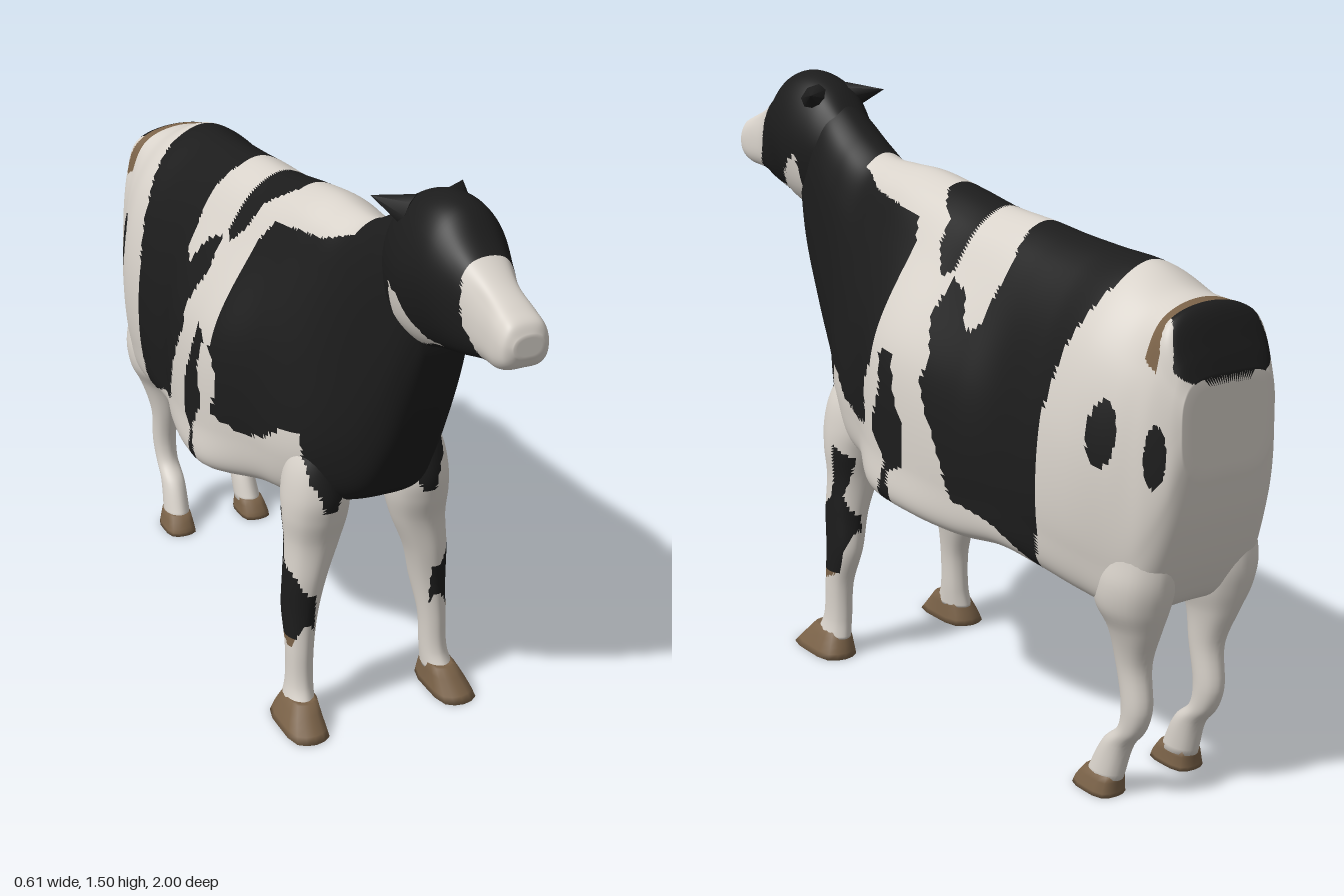
import * as THREE from 'three';

const mat = (name, color) => new THREE.MeshStandardMaterial({ name, color });
const white = mat('creamCoat', 0xd8d2ca);
const black = mat('blackCoat', 0x1c1c1c);
const brown = mat('hoofBrown', 0x7a6248);
const coat = [white, black, brown];
const WHITE = 0, BLACK = 1, BROWN = 2;

// Point-in-polygon test on [z, y] or [x, y] outlines
function inside(poly, z, y) {
  let hit = false;
  for (let i = 0, j = poly.length - 1; i < poly.length; j = i++) {
    const [zi, yi] = poly[i], [zj, yj] = poly[j];
    if ((yi > y) !== (yj > y) && z < (zj - zi) * (y - yi) / (yj - yi) + zi) hit = !hit;
  }
  return hit;
}
const inOval = (z, y, cz, cy, rz, ry) => ((z - cz) / rz) ** 2 + ((y - cy) / ry) ** 2 < 1;

// Coat patches, mirrored on both flanks
const shoulderPatch = [[0.32, 1.6], [0.32, 1.29], [0.22, 1.25], [0.1, 1.235], [0, 1.22], [-0.03, 1.17],
  [-0.04, 0.9], [0, 0.83], [-0.02, 0.73], [0.08, 0.71], [0.17, 0.74], [0.24, 0.79], [0.29, 0.8],
  [0.3, 0.7], [0.34, 0.6], [0.45, 0.55], [0.8, 1], [0.8, 1.6]];
const backPatch = [[-0.02, 1.6], [-0.02, 1.285], [-0.07, 1.25], [-0.11, 1.225], [-0.12, 1.17], [-0.17, 1.11],
  [-0.21, 1.13], [-0.2, 1.6]];
const flankPatch = [[-0.36, 1.6], [-0.36, 1.25], [-0.39, 1.17], [-0.37, 1.03], [-0.33, 1.01], [-0.28, 1.09],
  [-0.22, 1.11], [-0.2, 1.03], [-0.25, 0.93], [-0.23, 0.88], [-0.3, 0.75], [-0.35, 0.62], [-0.47, 0.59],
  [-0.63, 0.52], [-0.65, 0.7], [-0.65, 0.9], [-0.68, 1.05], [-0.74, 1.2], [-0.74, 1.6]];
const ribPatch = [[-0.07, 0.92], [-0.12, 0.93], [-0.15, 0.82], [-0.19, 0.75], [-0.18, 0.66], [-0.13, 0.64],
  [-0.14, 0.56], [-0.09, 0.56], [-0.12, 0.66], [-0.06, 0.73], [-0.09, 0.84]];
const rumpPatch = [[-0.925, 1.6], [-0.925, 1.14], [-0.94, 1.08], [-1.02, 1], [-1.02, 1.6]];
const rumpRim = [[-0.895, 1.6], [-0.9, 1.06], [-0.94, 1.04], [-0.94, 1.08], [-0.925, 1.14], [-0.925, 1.6]];
const kneePatch = [[0.25, 0.59], [0.2, 0.56], [0.23, 0.45], [0.2, 0.38], [0.24, 0.24], [0.3, 0.21],
  [0.34, 0.33], [0.31, 0.41], [0.26, 0.45]];
const brisketPatch = [[0, 0.66], [0.1, 0.65], [0.115, 0.6], [0.15, 0.6], [0.165, 0.66], [0.18, 0.68],
  [0.19, 0.85], [0, 0.85]];
const muzzlePatch = [[0.82, 1.6], [0.82, 1.39], [0.84, 1.28], [0.9, 1.19], [0.9, 1.1], [1.1, 1.1], [1.1, 1.6]];
const cheekPatch = [[0.8, 1.19], [0.7, 1.19], [0.63, 1.27], [0.59, 1.29], [0.58, 1.2], [0.6, 1.14],
  [0.66, 1.13], [0.8, 1.15]];

const bodyColour = (x, y, z) => {
  if (Math.abs(x) < 0.1 - (z + 0.92) * 0.7 && inside(rumpPatch, z, y)) return BLACK;
  if (Math.abs(x) < (y > 1.16 ? 0.11 : 0.17) && inside(rumpRim, z, y)) return BROWN;
  if (inOval(z, y, -0.83, 0.89, 0.036, 0.075) || inOval(z, y, -0.955, 0.86, 0.022, 0.07)) return BLACK;
  return [shoulderPatch, backPatch, flankPatch, ribPatch].some((p) => inside(p, z, y)) ? BLACK : WHITE;
};
const headColour = (x, y, z) => (inside(muzzlePatch, z, y)
  || (Math.abs(x) > 0.06 && inside(cheekPatch, z, y)) ? WHITE : BLACK);
const foreLegColour = (x, y, z) => {
  if (y > 0.595) return z > 0.28 && inside(brisketPatch, Math.abs(x), y) ? BLACK : WHITE;
  if (Math.abs(x) < 0.16 || !inside(kneePatch, z, y)) return WHITE;
  return y < 0.235 ? BROWN : BLACK;
};
const hindLegColour = (x, y, z) => (y > 0.44 && y < 0.5 && z > -0.775 ? BROWN : WHITE);
const udderColour = (x, y, z) => (z > -0.62 && y < 0.5 && Math.abs(x) < 0.07 ? BROWN : WHITE);

// Sort faces into one group per colour
function paint(geo, colourAt) {
  const p = geo.attributes.position, idx = geo.index.array, lists = [[], [], []];
  for (let f = 0; f < idx.length; f += 3) {
    const t = [idx[f], idx[f + 1], idx[f + 2]];
    const mid = (get) => (get(t[0]) + get(t[1]) + get(t[2])) / 3;
    lists[colourAt(mid((i) => p.getX(i)), mid((i) => p.getY(i)), mid((i) => p.getZ(i)))].push(...t);
  }
  geo.setIndex(lists.flat());
  geo.clearGroups();
  let start = 0;
  lists.forEach((l, m) => {
    if (l.length) geo.addGroup(start, l.length, m);
    start += l.length;
  });
  return geo;
}

// Smooth skin through closed rings of points, each end closed by a fan
function loft(rings, around, steps) {
  const smooth = rings.map((r) => {
    const c = new THREE.CatmullRomCurve3(r, true);
    return Array.from({ length: around }, (_, j) => c.getPoint(j / around));
  });
  const rows = (rings.length - 1) * steps, pos = [], index = [];
  const lines = Array.from({ length: around }, (_, j) => new THREE.CatmullRomCurve3(smooth.map((r) => r[j])));
  for (let i = 0; i <= rows; i++) for (const l of lines) pos.push(...l.getPoint(i / rows).toArray());
  for (let i = 0; i < rows; i++) {
    for (let j = 0; j < around; j++) {
      const a = i * around + j, b = i * around + (j + 1) % around;
      index.push(a, a + around, b, b, a + around, b + around);
    }
  }
  // Two inner rings per end keep patch edges and shading even
  for (const last of [false, true]) {
    const ring = smooth[last ? smooth.length - 1 : 0];
    const centre = ring.reduce((s, v) => s.add(v), new THREE.Vector3()).divideScalar(around);
    let outer = last ? rows * around : 0;
    for (const t of [0.2, 0.5, 1]) {
      const inner = pos.length / 3;
      ring.forEach((v) => pos.push(...v.clone().lerp(centre, t).toArray()));
      for (let j = 0; j < around; j++) {
        const k = (j + 1) % around, a = outer + j, b = outer + k, c = inner + j, d = inner + k;
        if (last) index.push(a, c, b, b, c, d);
        else index.push(a, b, c, b, d, c);
      }
      outer = inner;
    }
  }
  const geo = new THREE.BufferGeometry();
  geo.setAttribute('position', new THREE.Float32BufferAttribute(pos, 3));
  geo.setIndex(index);
  geo.computeVertexNormals();
  return geo;
}

// Upright section: z, top, bottom, then half widths at fixed heights
const levels = [0.05, 0.2, 0.48, 0.82, 0.975];
function trunkRing([z, top, bottom, ...w]) {
  const at = (x, t) => new THREE.Vector3(x, top + (bottom - top) * t, z);
  const left = w.map((x, i) => at(x, levels[i]));
  const right = w.map((x, i) => at(-x, levels[i])).reverse();
  return [at(0, 0), ...left, at(0, 1), ...right];
}

// Level section: y, z centre, x centre, z radius, x radius; a lower power gives squarer corners
const limbRing = (side, power) => ([y, z, x, rz, rx]) => Array.from({ length: 8 }, (_, k) => {
  const a = k * Math.PI / 4;
  const bend = (v) => (Math.abs(v) < 1e-6 ? 0 : Math.sign(v) * Math.abs(v) ** power);
  return new THREE.Vector3(side * x + rx * bend(Math.cos(a)), y, z - rz * bend(Math.sin(a)));
});

const bodySections = [
  [-1, 1.03, 0.81, 0.1, 0.125, 0.13, 0.12, 0.09],
  [-0.98, 1.085, 0.69, 0.115, 0.14, 0.15, 0.145, 0.11],
  [-0.94, 1.165, 0.56, 0.12, 0.155, 0.175, 0.17, 0.13],
  [-0.9, 1.175, 0.49, 0.11, 0.16, 0.19, 0.185, 0.15],
  [-0.85, 1.185, 0.47, 0.1, 0.17, 0.21, 0.2, 0.165],
  [-0.75, 1.225, 0.485, 0.09, 0.18, 0.235, 0.23, 0.19],
  [-0.6, 1.235, 0.51, 0.08, 0.165, 0.23, 0.24, 0.21],
  [-0.47, 1.243, 0.52, 0.08, 0.16, 0.225, 0.24, 0.22],
  [-0.35, 1.255, 0.515, 0.08, 0.16, 0.25, 0.27, 0.25],
  [-0.2, 1.265, 0.53, 0.08, 0.16, 0.27, 0.292, 0.282],
  [-0.05, 1.29, 0.55, 0.08, 0.16, 0.275, 0.297, 0.288],
  [0.1, 1.31, 0.57, 0.08, 0.145, 0.225, 0.242, 0.21],
  [0.2, 1.31, 0.58, 0.075, 0.13, 0.195, 0.22, 0.18],
  [0.3, 1.315, 0.6, 0.065, 0.115, 0.16, 0.18, 0.135],
  [0.4, 1.36, 0.65, 0.065, 0.108, 0.13, 0.125, 0.08],
  [0.5, 1.42, 0.79, 0.058, 0.098, 0.112, 0.1, 0.06],
  [0.58, 1.45, 0.96, 0.045, 0.08, 0.095, 0.085, 0.05],
  [0.64, 1.44, 1.12, 0.03, 0.06, 0.07, 0.06, 0.04],
];
const headSections = [
  [0.47, 1.39, 1.22, 0.035, 0.055, 0.07, 0.06, 0.035],
  [0.55, 1.465, 1.15, 0.05, 0.083, 0.103, 0.088, 0.05],
  [0.64, 1.497, 1.14, 0.052, 0.093, 0.118, 0.095, 0.05],
  [0.72, 1.488, 1.165, 0.05, 0.088, 0.108, 0.085, 0.05],
  [0.8, 1.425, 1.185, 0.045, 0.07, 0.082, 0.07, 0.045],
  [0.88, 1.375, 1.205, 0.035, 0.048, 0.057, 0.053, 0.035],
  [0.95, 1.345, 1.215, 0.035, 0.05, 0.058, 0.055, 0.04],
  [0.985, 1.328, 1.23, 0.033, 0.046, 0.054, 0.05, 0.035],
  [1, 1.305, 1.255, 0.017, 0.03, 0.036, 0.03, 0.017],
];
const foreLeg = [[0.78, 0.26, 0.13, 0.05, 0.04], [0.7, 0.263, 0.135, 0.08, 0.07], [0.63, 0.265, 0.135, 0.093, 0.083],
  [0.57, 0.268, 0.138, 0.082, 0.083], [0.5, 0.268, 0.145, 0.066, 0.072], [0.4, 0.27, 0.166, 0.061, 0.055],
  [0.3, 0.265, 0.178, 0.058, 0.044], [0.2, 0.28, 0.186, 0.043, 0.035], [0.1, 0.285, 0.19, 0.045, 0.034],
  [0.05, 0.295, 0.197, 0.06, 0.038]];
const foreHoof = [[0.07, 0.305, 0.195, 0.055, 0.034], [0.03, 0.315, 0.203, 0.085, 0.046], [0, 0.325, 0.207, 0.105, 0.054]];
const hindLeg = [[0.75, -0.85, 0.11, 0.07, 0.07], [0.62, -0.855, 0.115, 0.09, 0.08], [0.55, -0.85, 0.12, 0.098, 0.085],
  [0.49, -0.842, 0.12, 0.094, 0.078], [0.43, -0.845, 0.115, 0.07, 0.055], [0.34, -0.837, 0.108, 0.046, 0.038],
  [0.235, -0.85, 0.107, 0.04, 0.033], [0.18, -0.835, 0.107, 0.036, 0.031], [0.13, -0.79, 0.108, 0.042, 0.033],
  [0.04, -0.752, 0.113, 0.052, 0.036]];
const hindHoof = [[0.05, -0.75, 0.114, 0.05, 0.034], [0.02, -0.738, 0.117, 0.062, 0.04], [0, -0.735, 0.118, 0.066, 0.044]];

export function createModel() {
  const cow = new THREE.Group();
  cow.name = 'cow';
  const add = (name, geo, material) => {
    const mesh = new THREE.Mesh(geo, material);
    mesh.name = name;
    cow.add(mesh);
    return mesh;
  };

  add('bodyAndNeck', paint(loft(bodySections.map(trunkRing), 192, 10), bodyColour), coat);
  add('head', paint(loft(headSections.map(trunkRing), 96, 8), headColour), coat);

  // Udder under the hind belly
  const udder = new THREE.SphereGeometry(1, 40, 28).scale(0.12, 0.075, 0.13).translate(0, 0.52, -0.65);
  add('udder', paint(udder, udderColour), coat);

  for (const side of [1, -1]) {
    const label = side > 0 ? 'left' : 'right';
    const leg = limbRing(side, 1), hoof = limbRing(side, 0.6);
    add(label + 'ForeLeg', paint(loft(foreLeg.map(leg), 48, 8), foreLegColour), coat);
    add(label + 'HindLeg', paint(loft(hindLeg.map(leg), 32, 6), hindLegColour), coat);
    add(label + 'ForeHoof', loft(foreHoof.map(hoof), 16, 2), brown);
    add(label + 'HindHoof', loft(hindHoof.map(hoof), 16, 2), brown);

    // Pointed ears swept out and back
    const ear = add(label + 'Ear', new THREE.ConeGeometry(0.042, 0.1, 8).scale(1, 1, 0.85), black);
    ear.position.set(side * 0.083, 1.445, 0.54);
    ear.quaternion.setFromUnitVectors(new THREE.Vector3(0, 1, 0), new THREE.Vector3(side * 0.6, 0.2, -0.75).normalize());
  }
  return cow;
}
